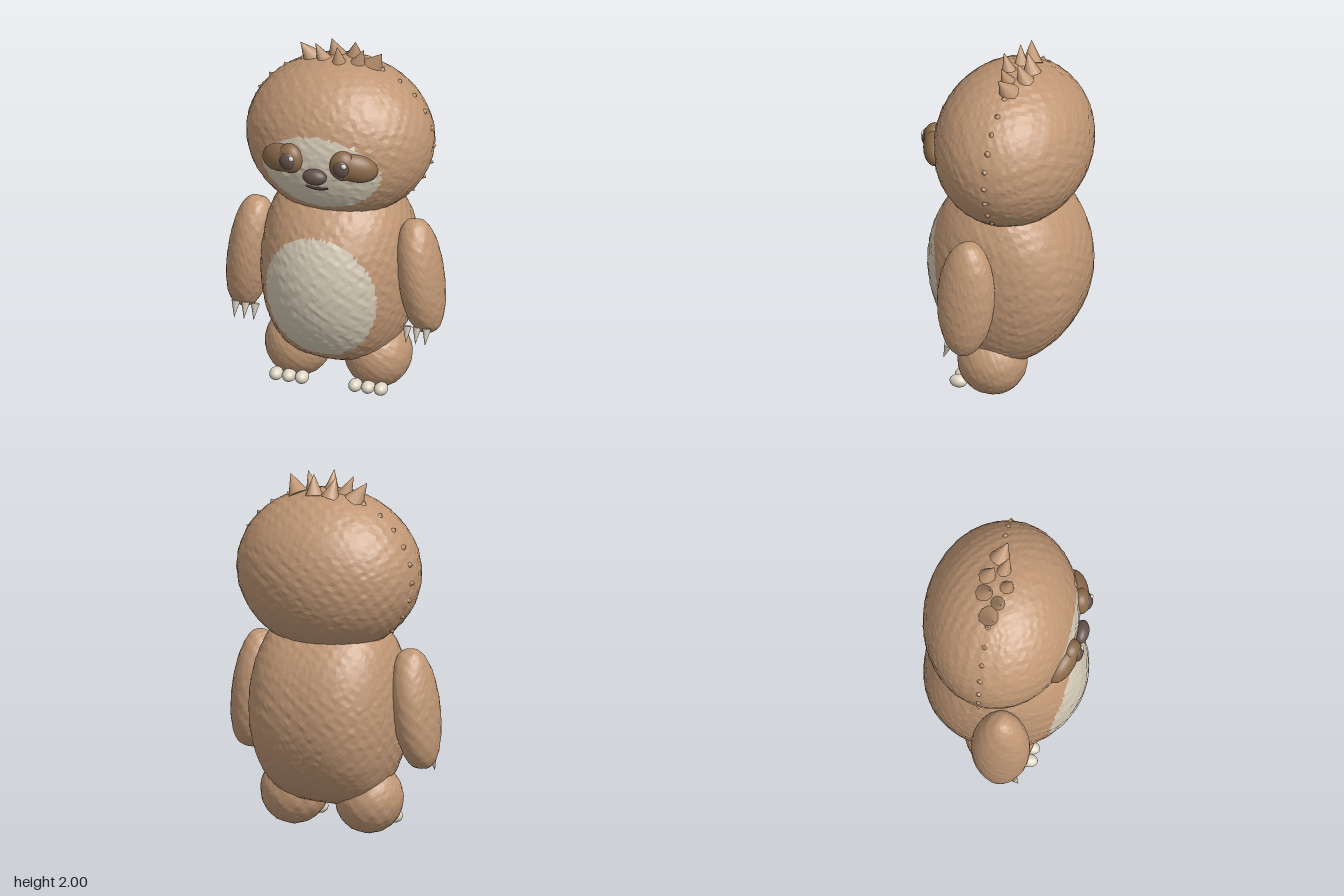
import * as THREE from 'three';

const mat = (name, color) => {
  const m = new THREE.MeshStandardMaterial({ color });
  m.name = name;
  return m;
};

export function createModel() {
  const fur = mat('tan fur', 0xc09775);
  const cream = mat('cream fur', 0xd4c9b5);
  const patchBrown = mat('eye patch brown', 0x8c6a4a);
  const dark = mat('dark brown', 0x645049);
  const mouthDark = mat('mouth brown', 0x45302a);
  const clawCream = mat('claw cream', 0xddd3c3);
  const white = mat('highlight', 0xf4f0ea);
  const model = new THREE.Group();

  const add = (name, geo, material, parent = model) => {
    const mesh = new THREE.Mesh(geo, material);
    mesh.name = name;
    parent.add(mesh);
    return mesh;
  };

  // Small repeatable bumps for the rough fur
  const bump = (p) =>
    Math.sin(p.x * 97 + p.y * 31) * Math.sin(p.y * 89 - p.z * 43) * Math.sin(p.z * 101 + p.x * 37 + 1) +
    0.6 * Math.sin(p.x * 61 - p.z * 47) * Math.sin(p.y * 71 + p.z * 19 + 2);

  // Faceted lumpy ellipsoid; faces passing the test take the second material
  function lump(radii, detail, amount, shape, isPale) {
    const geo = new THREE.IcosahedronGeometry(1, detail);
    geo.deleteAttribute('uv');
    const pos = geo.attributes.position;
    const n = new THREE.Vector3(), p = new THREE.Vector3();
    for (let i = 0; i < pos.count; i++) {
      n.fromBufferAttribute(pos, i);
      p.copy(n).multiply(radii);
      if (shape) shape(p, n);
      p.addScaledVector(n, bump(p) * amount);
      pos.setXYZ(i, p.x, p.y, p.z);
    }
    geo.computeVertexNormals();
    if (isPale) {
      const sets = [[], []];
      for (let i = 0; i < pos.count; i += 3) {
        p.set(0, 0, 0);
        for (let k = 0; k < 3; k++) p.add(n.fromBufferAttribute(pos, i + k));
        sets[isPale(p.divideScalar(3)) ? 1 : 0].push(i, i + 1, i + 2);
      }
      geo.setIndex(sets.flat());
      geo.addGroup(0, sets[0].length, 0);
      geo.addGroup(sets[0].length, sets[1].length, 1);
    }
    return geo;
  }

  const V = (x, y, z) => new THREE.Vector3(x, y, z);
  const ringSize = (n) => Math.max(Math.hypot(n.x, n.z), 0.05);

  const blob = (name, material, center, radii) => {
    const m = add(name, new THREE.SphereGeometry(1, 24, 16), material);
    m.position.copy(center);
    m.scale.copy(radii);
    return m;
  };

  // Cone running from the middle of its base to its tip
  const spike = (name, material, base, tip, radius) => {
    const dir = tip.clone().sub(base);
    const m = add(name, new THREE.ConeGeometry(radius, dir.length(), 10), material);
    m.position.copy(base).addScaledVector(dir, 0.5);
    m.quaternion.setFromUnitVectors(V(0, 1, 0), dir.normalize());
  };

  // Body with square shoulders, a broad back and a pale oval belly
  const body = add('body', lump(V(0.42, 0.54, 0.443), 20, 0.003, (p, n) => {
    const h = ringSize(n);
    p.x *= Math.pow(h, -0.42);
    if (n.z < 0) {
      const k = Math.pow(Math.abs(n.x / h) ** 2.5 + Math.abs(n.z / h) ** 2.5, -0.4);
      p.x *= k;
      p.z *= k;
    }
  }, (p) => p.z > 0 && (p.x / 0.315) ** 2 + ((p.y + 0.06) / 0.365) ** 2 < 1), [fur, cream]);
  body.position.set(0, 0.695, 0);

  // Head with a pale face mask
  const headCenter = V(0, 1.455, -0.03), headRadii = V(0.518, 0.447, 0.42);
  const head = add('head', lump(headRadii, 20, 0.003, null,
    (p) => p.z > 0 && (p.x / 0.335) ** 2 + ((p.y + 0.068) / 0.218) ** 2 < 1), [fur, cream]);
  head.position.copy(headCenter);

  // Row of tiny spikes down both sides of the head
  for (const s of [-1, 1]) {
    for (let i = -4; i <= 5; i++) {
      const a = THREE.MathUtils.degToRad(-1 + i * 13);
      const out = V(s * Math.cos(a) / headRadii.x, Math.sin(a) / headRadii.y, 0).normalize();
      const base = V(s * Math.cos(a) * headRadii.x, headCenter.y + Math.sin(a) * headRadii.y, -0.065)
        .addScaledVector(out, -0.008);
      spike('sideSpike', fur, base, base.clone().addScaledVector(out, 0.024), 0.02);
    }
  }

  // Tuft of larger spikes on the crown
  spike('crownSpike', fur, V(0, 1.875, -0.005), V(0, 2, 0.03), 0.047);
  for (const s of [-1, 1]) {
    spike('crownSpike', fur, V(s * 0.09, 1.87, -0.035), V(s * 0.138, 1.985, -0.01), 0.047);
    spike('crownSpike', fur, V(s * 0.167, 1.86, -0.068), V(s * 0.232, 1.965, -0.035), 0.06);
    spike('crownSpike', fur, V(s * 0.048, 1.875, -0.115), V(s * 0.068, 1.99, -0.08), 0.052);
  }

  // Eyes, arms and feet, mirrored
  for (const s of [-1, 1]) {
    const side = s > 0 ? 'left' : 'right';

    const patch = blob(side + 'EyePatch', patchBrown, V(s * 0.215, 1.452, 0.345), V(0.122, 0.08, 0.062));
    patch.rotation.set(0, s * 0.4, -s * 0.28);
    const ring = blob(side + 'EyeRing', patchBrown, V(s * 0.15, 1.468, 0.375), V(0.073, 0.085, 0.057));
    ring.rotation.y = s * 0.2;
    blob(side + 'Eye', dark, V(s * 0.15, 1.468, 0.412), V(0.047, 0.052, 0.032));
    blob(side + 'EyeHighlight', white, V(s * 0.15 + 0.022, 1.492, 0.432), V(0.015, 0.015, 0.01));

    const arm = add(side + 'Arm', lump(V(0.121, 0.332, 0.16), 13, 0.002, (p, n) => {
      p.x *= Math.pow(ringSize(n), -0.3);
    }), fur);
    arm.position.set(s * 0.485, 0.715, 0.05);
    arm.rotation.z = s * 0.13;
    for (const x of [0.433, 0.488, 0.543])
      spike(side + 'Claw', clawCream, V(s * x, 0.44, 0.128), V(s * x, 0.35, 0.158), 0.024);

    const foot = add(side + 'Foot', lump(V(0.184, 0.192, 0.19), 13, 0.002), fur);
    foot.position.set(s * 0.225, 0.198, 0.003);
    for (const x of [0.152, 0.225, 0.298])
      blob(side + 'Toe', clawCream, V(s * x, 0.062, 0.172), V(0.037, 0.035, 0.049));
  }

  // Nose and gently curved mouth
  blob('nose', dark, V(0, 1.393, 0.408), V(0.068, 0.045, 0.042));
  const smile = new THREE.QuadraticBezierCurve3(V(-0.062, 1.314, 0.36), V(0, 1.298, 0.372), V(0.062, 1.314, 0.36));
  add('mouth', new THREE.TubeGeometry(smile, 12, 0.009, 8), mouthDark);

  return model;
}
